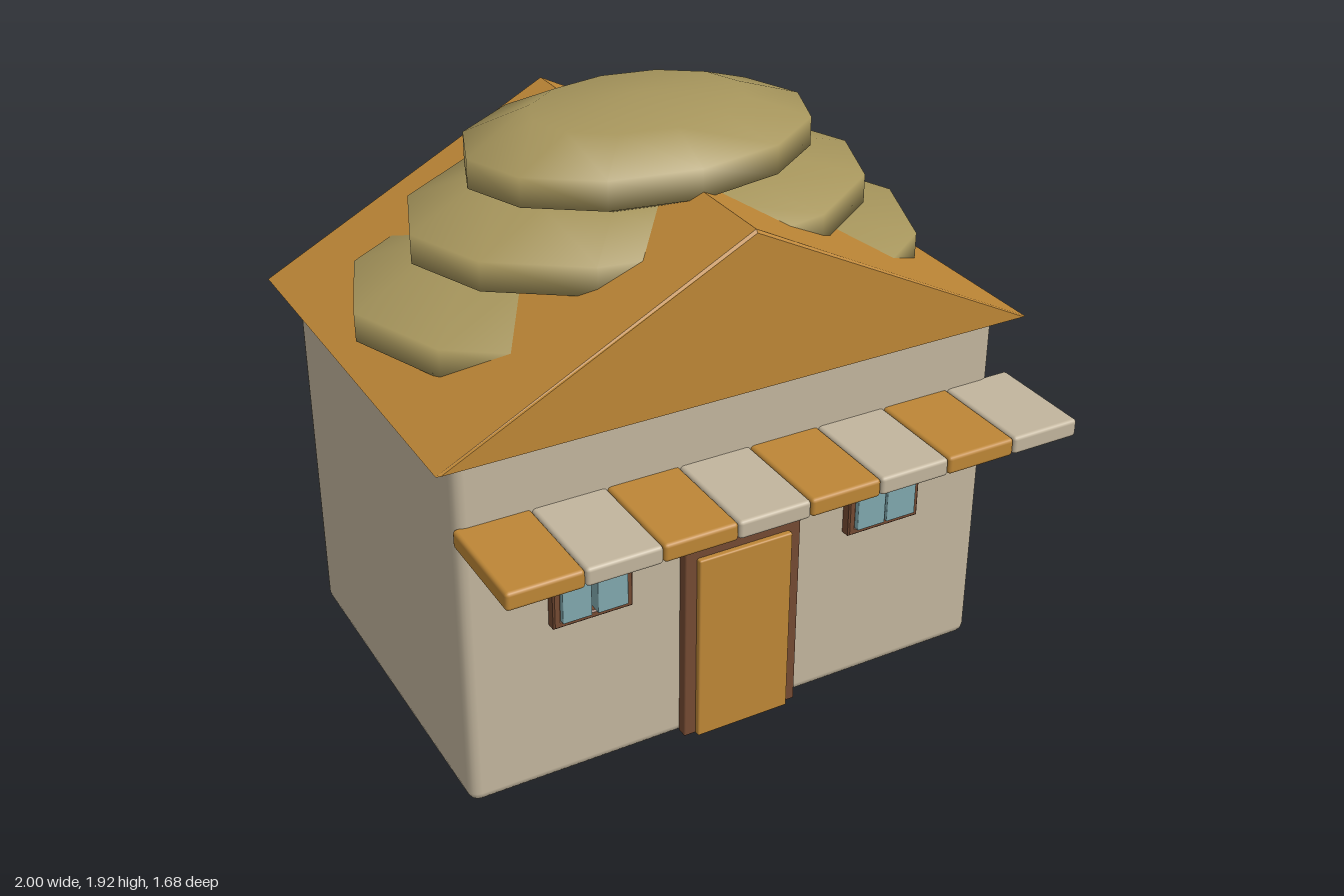
import * as THREE from 'three';
import { RoundedBoxGeometry } from 'three/addons/geometries/RoundedBoxGeometry.js';

const mat = (name, color) => {
  const m = new THREE.MeshStandardMaterial({ color });
  m.name = name;
  return m;
};

export function createModel() {
  const cream = mat('cream', 0xc2b59d);
  const ochre = mat('ochre', 0xbd8636);
  const olive = mat('olive', 0xa6955c);
  const brown = mat('brown', 0x744a32);
  const glass = mat('glass', 0x80a8ae);

  const model = new THREE.Group();
  model.name = 'shop';

  const add = (name, geometry, material, parent = model) => {
    const mesh = new THREE.Mesh(geometry, material);
    mesh.name = name;
    parent.add(mesh);
    return mesh;
  };

  // Rounded box given by its limits on each axis
  const block = (name, material, [x0, x1], [y0, y1], [z0, z1], r, parent) => {
    const geo = new RoundedBoxGeometry(x1 - x0, y1 - y0, z1 - z0, 2, r);
    geo.translate((x0 + x1) / 2, (y0 + y1) / 2, (z0 + z1) / 2);
    return add(name, geo, material, parent);
  };

  // Rectangular frame with an opening, slightly bevelled
  const frame = (name, [x0, x1], [y0, y1], inset, parent) => {
    const rect = (C, a, b, c, d) => new C([
      new THREE.Vector2(a, c), new THREE.Vector2(b, c),
      new THREE.Vector2(b, d), new THREE.Vector2(a, d)]);
    const shape = rect(THREE.Shape, x0, x1, y0, y1);
    shape.holes.push(rect(THREE.Path, x0 + inset, x1 - inset, y0 + inset, y1 - inset));
    const geo = new THREE.ExtrudeGeometry(shape, {
      depth: 0.03, bevelThickness: 0.005, bevelSize: 0.005, bevelOffset: -0.005, bevelSegments: 1 });
    geo.translate(0, 0, 0.497);
    return add(name, geo, brown, parent);
  };

  // Walls
  block('walls', cream, [-0.93, 0.92], [0, 1.235], [-0.77, 0.495], 0.035);

  // Gable roof
  const gable = new THREE.Shape([
    new THREE.Vector2(-1, 1.23), new THREE.Vector2(0.99, 1.23), new THREE.Vector2(-0.005, 1.745)]);
  const roof = new THREE.ExtrudeGeometry(gable, {
    depth: 1.386, bevelThickness: 0.008, bevelSize: 0.008, bevelOffset: -0.008, bevelSegments: 1 });
  roof.translate(0, 0, -0.833);
  add('roof', roof, ochre);

  // Three stacked faceted cushions across the roof
  const thatch = new THREE.Group();
  thatch.name = 'thatch';
  model.add(thatch);
  [[1, 0.7, 1.36], [0.8, 0.56, 1.57], [0.6, 0.42, 1.77]].forEach(([rx, rz, y], i) => {
    const layer = add(`thatchLayer${i + 1}`, new THREE.SphereGeometry(1, 12, 5), olive, thatch);
    layer.scale.set(rx, 0.152, rz);
    layer.position.set(-0.005, y, -0.14);
  });

  // Striped awning
  const awning = new THREE.Group();
  awning.name = 'awning';
  model.add(awning);
  const pitch = 0.2415;
  for (let i = 0; i < 8; i++) {
    const x = -0.935 + i * pitch;
    block(`awningSlat${i + 1}`, i % 2 ? cream : ochre,
      [x, x + pitch - 0.002], [0.94, 1], [0.48, 0.84], 0.012, awning);
  }

  // Door
  const door = new THREE.Group();
  door.name = 'door';
  model.add(door);
  block('doorFrame', brown, [-0.21, 0.2], [0.01, 0.745], [0.49, 0.53], 0.006, door);
  block('doorPanel', ochre, [-0.17, 0.16], [0.01, 0.68], [0.51, 0.549], 0.006, door);

  // Windows, each a frame with two panes and a narrow gap between them
  [['rightWindow', -0.655, 0.02], ['leftWindow', 0.38, 0.008]].forEach(([name, x, gap]) => {
    const win = new THREE.Group();
    win.name = name;
    model.add(win);
    frame('windowFrame', [x, x + 0.265], [0.585, 0.9], 0.026, win);
    const mid = x + 0.13;
    block('paneA', glass, [x + 0.024, mid - gap / 2], [0.609, 0.875], [0.5, 0.548], 0.003, win);
    block('paneB', glass, [mid + gap / 2, x + 0.241], [0.609, 0.875], [0.5, 0.548], 0.003, win);
  });

  return model;
}
